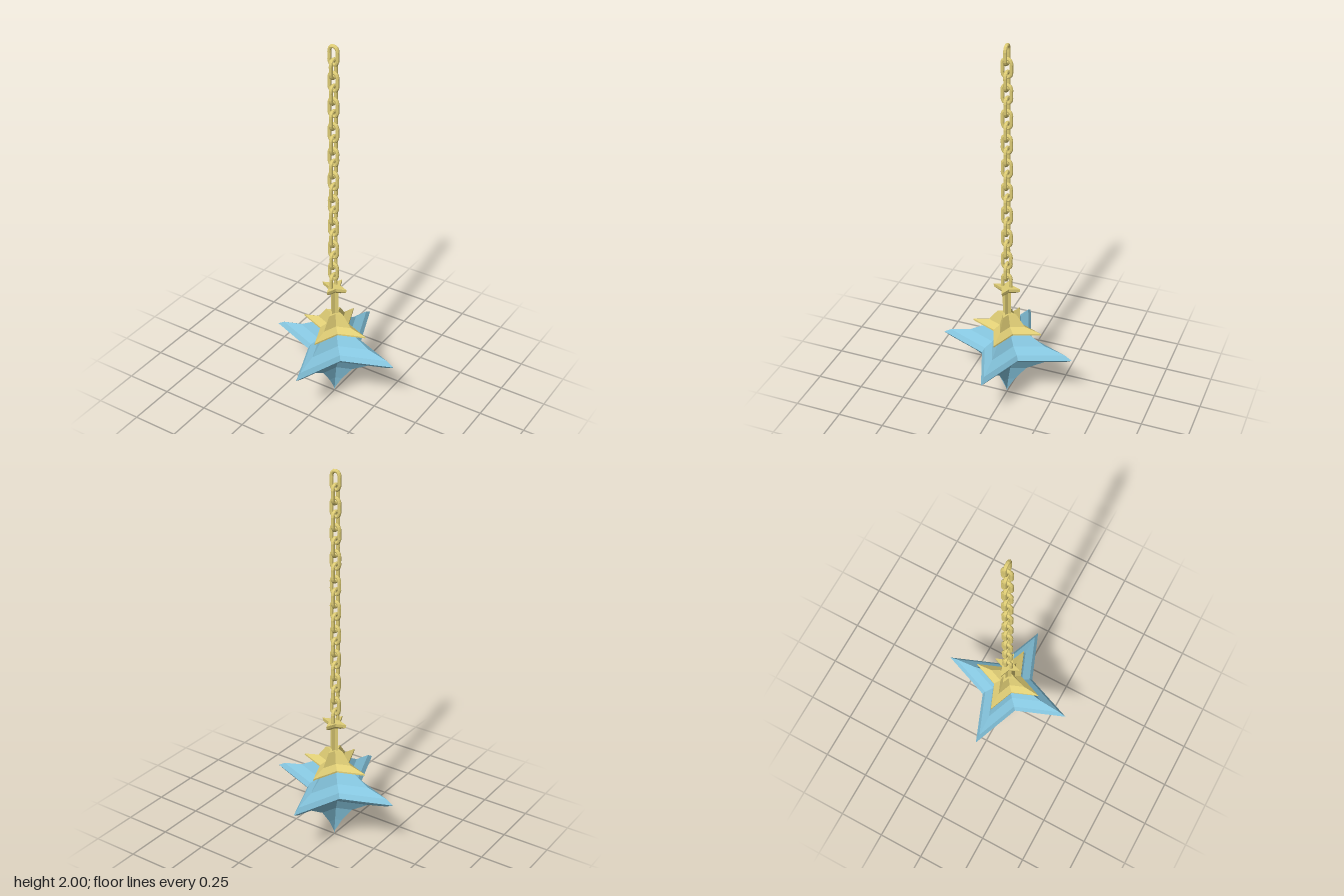
import * as THREE from 'three';

const blue = new THREE.MeshStandardMaterial({ color: 0x85c5de, flatShading: true });
blue.name = 'blueGlass';
const gold = new THREE.MeshStandardMaterial({ color: 0xdfcd75, flatShading: true });
gold.name = 'gold';

// Lofts a four-pointed star up a profile of [tip radius, y], listed bottom to top
function starLoft(profile, notch) {
  const ring = ([r, y]) => Array.from({ length: 8 }, (_, i) => {
    const a = (i * Math.PI) / 4;
    const d = i % 2 ? r * notch : r;
    return new THREE.Vector3(Math.cos(a) * d, y, -Math.sin(a) * d);
  });
  const pts = [];
  for (let k = 0; k < profile.length - 1; k++) {
    const lo = ring(profile[k]);
    const hi = ring(profile[k + 1]);
    for (let i = 0; i < 8; i++) {
      const j = (i + 1) % 8;
      if (profile[k][0] > 0) pts.push(lo[i], lo[j], hi[j]);
      if (profile[k + 1][0] > 0) pts.push(lo[i], hi[j], hi[i]);
    }
  }
  const geo = new THREE.BufferGeometry().setFromPoints(pts);
  geo.computeVertexNormals();
  return geo;
}

function part(name, geometry, material) {
  const mesh = new THREE.Mesh(geometry, material);
  mesh.name = name;
  return mesh;
}

// Elongated chain link with chamfered ends
function linkGeometry() {
  const w = 0.022, h = 0.043;
  const quarter = [[w, 0.012], [w, 0.026], [0.012, h]];
  const corners = [
    ...quarter,
    ...quarter.map(([x, y]) => [-x, y]).reverse(),
    ...quarter.map(([x, y]) => [-x, -y]),
    ...quarter.map(([x, y]) => [x, -y]).reverse(),
  ].map(([x, y]) => new THREE.Vector3(x, y, 0));
  const path = new THREE.CatmullRomCurve3(corners, true, 'centripetal');
  return new THREE.TubeGeometry(path, 24, 0.0095, 8, true);
}

export function createModel() {
  const model = new THREE.Group();
  model.name = 'hangingStarLantern';

  // Glass star body
  model.add(part('starBody', starLoft([
    [0, 0], [0.003, 0.02], [0.047, 0.1], [0.11, 0.187], [0.21, 0.253], [0.32, 0.283],
    [0.36, 0.302], [0.32, 0.327], [0.21, 0.355], [0.11, 0.415], [0.1, 0.43], [0, 0.43],
  ], 0.395), blue));

  // Stepped cap over the star
  model.add(part('cap', starLoft([
    [0, 0.42], [0.19, 0.42], [0.188, 0.428], [0.1, 0.45], [0.052, 0.515], [0, 0.515],
  ], 0.4), gold));

  // Slim stem
  model.add(part('stem', starLoft([
    [0, 0.51], [0.023, 0.51], [0.023, 0.655], [0, 0.655],
  ], 0.5), gold));

  // Flared collar under the chain
  model.add(part('collar', starLoft([
    [0, 0.645], [0.037, 0.645], [0.07, 0.66], [0.073, 0.677], [0, 0.677],
  ], 0.4), gold));

  // Chain of links, each turned a quarter from the last
  const chain = new THREE.Group();
  chain.name = 'chain';
  const geo = linkGeometry();
  for (let i = 0; i < 20; i++) {
    const link = part('chainLink', geo, gold);
    link.position.y = 1.9475 - i * 0.0656;
    link.rotation.y = (i % 2) * Math.PI / 2;
    chain.add(link);
  }
  chain.position.set(-0.005, 0, 0.002);
  model.add(chain);

  return model;
}
